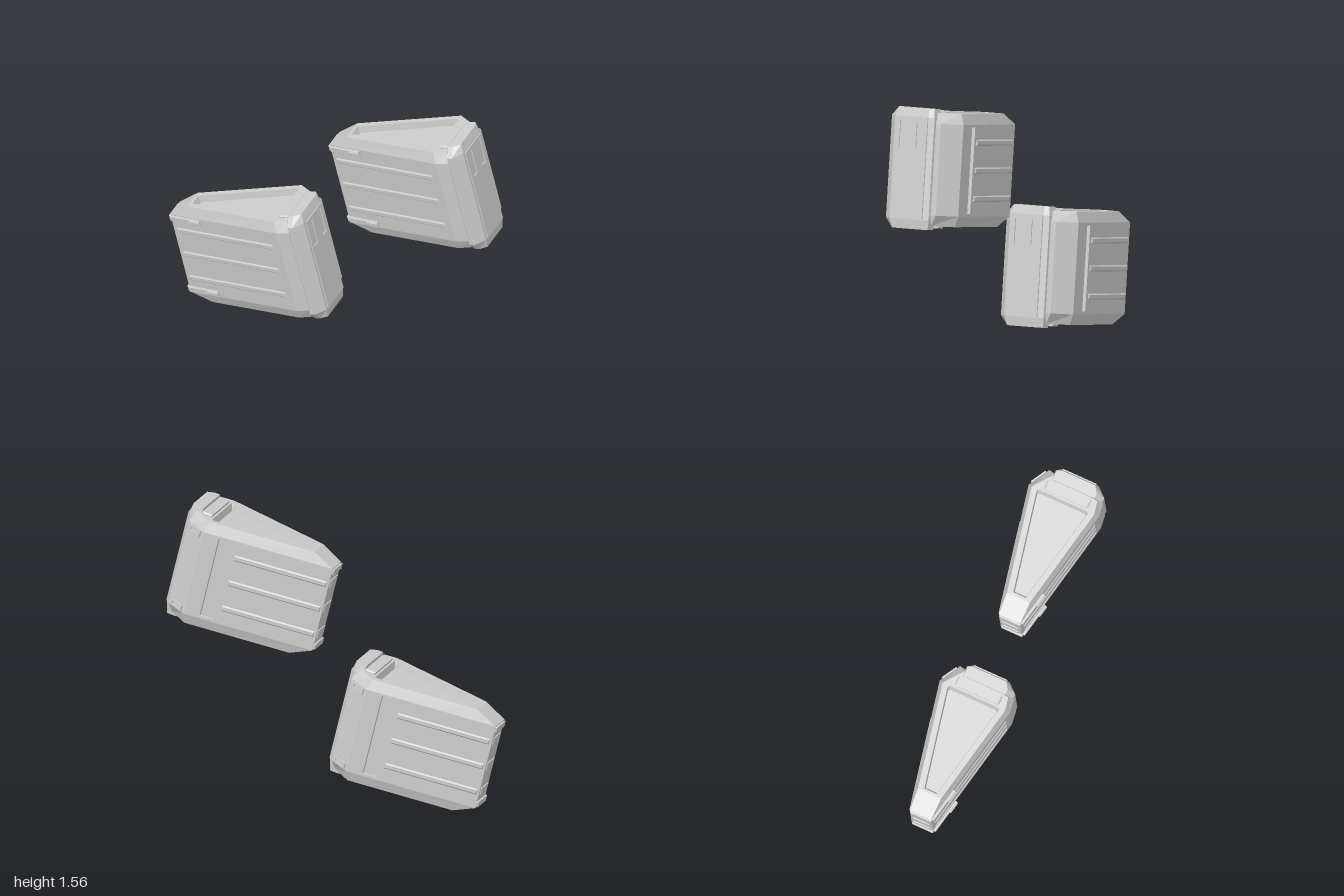
import * as THREE from 'three';

const mat = new THREE.MeshStandardMaterial({ color: 0xcccccc, flatShading: true });
const SIDE = Math.atan2(0.15, 0.73); // angle of each flared side wall
const sideWidth = (x) => 0.065 + (x + 0.45) * 0.2055;

function add(parent, name, geometry, x = 0, y = 0, z = 0, turn = 0) {
  const mesh = new THREE.Mesh(geometry, mat);
  mesh.name = name;
  mesh.position.set(x, y, z);
  mesh.rotation.y = turn;
  parent.add(mesh);
}

function rect(w, h, x = 0, y = 0, type = THREE.Shape) {
  return new type([[-1, -1], [1, -1], [1, 1], [-1, 1]].map(
    ([i, j]) => new THREE.Vector2(x + i * w / 2, y + j * h / 2)));
}

// Centred box with chamfered edges
function slab(w, h, d, bevel) {
  return new THREE.ExtrudeGeometry(rect(w - 2 * bevel, h - 2 * bevel), {
    depth: d - 2 * bevel, bevelEnabled: true, bevelSize: bevel, bevelThickness: bevel, bevelSegments: 1,
  }).center();
}

const loop = (y, points) => points.map(([x, z]) => new THREE.Vector3(x, y, z));

// Wedge outline: thin end, widest point, two end corners; optional channel in the -z wall
function outline(y, [ta, tc], [wa, wc], left, right, channel = 0) {
  const wall = (f, depth) => [wa + (ta - wa) * f, -(wc + (tc - wc) * f) + depth];
  return loop(y, [[ta, tc], [wa, wc], left, right, [wa, -wc],
    wall(0.12, 0), wall(0.12, channel), wall(0.23, channel), wall(0.23, 0), [ta, -tc]]);
}

// Skin through stacked loops, closed at both ends
function loft(loops) {
  const out = [];
  const tri = (...points) => points.forEach((p) => out.push(p.x, p.y, p.z));
  const n = loops[0].length;
  const middle = (ring) => ring.reduce((s, p) => s.add(p), new THREE.Vector3()).divideScalar(n);
  const first = loops[0], last = loops[loops.length - 1];
  const low = middle(first), high = middle(last);
  for (let i = 0; i < n; i++) {
    const j = (i + 1) % n;
    tri(low, first[j], first[i]);
    tri(high, last[i], last[j]);
    for (let k = 0; k + 1 < loops.length; k++) {
      tri(loops[k][i], loops[k][j], loops[k + 1][j]);
      tri(loops[k][i], loops[k + 1][j], loops[k + 1][i]);
    }
  }
  const g = new THREE.BufferGeometry();
  g.setAttribute('position', new THREE.Float32BufferAttribute(out, 3));
  g.computeVertexNormals();
  return g;
}

function createPod(name) {
  const pod = new THREE.Group();
  pod.name = name;

  // Wedge body with chamfered rims and a triangular pocket above and below
  const floor = [[-0.3, 0.035], [0.245, 0.148], [0.255, 0.14], [0.255, -0.14]];
  const pocket = [[-0.31, 0.038], [0.255, 0.155], [0.27, 0.15], [0.27, -0.15]];
  const rim = [[-0.325, 0.07], [0.27, 0.19], [0.345, 0.175], [0.38, -0.105]];
  const wall = [[-0.45, 0.065], [0.28, 0.215], [0.355, 0.205], [0.4, -0.145]];
  add(pod, 'body', loft([
    outline(-0.275, ...floor), outline(-0.315, ...pocket), outline(-0.315, ...rim),
    outline(-0.255, ...wall), outline(-0.24, ...wall), outline(-0.24, ...wall, 0.02),
    outline(0.24, ...wall, 0.02), outline(0.24, ...wall), outline(0.255, ...wall),
    outline(0.315, ...rim), outline(0.315, ...pocket), outline(0.275, ...floor),
  ]));

  // End plate: wide chamfer on one flank, narrow one on the other
  const plate = [[0.35, 0.2], [0.38, 0.2], [0.428, 0.145], [0.428, -0.08], [0.412, -0.108], [0.35, -0.108]];
  const plateTip = [[0.35, 0.155], [0.38, 0.155], [0.418, 0.13], [0.418, -0.075], [0.405, -0.1], [0.35, -0.1]];
  add(pod, 'endPlate', loft([
    loop(-0.338, plateTip), loop(-0.285, plate), loop(0.285, plate), loop(0.335, plateTip)]));

  // Face of the plate with two shallow slots near its top
  const face = rect(0.205, 0.56);
  for (const s of [-1, 1]) face.holes.push(rect(0.047, 0.15, s * 0.056, 0.185, THREE.Path));
  add(pod, 'slottedFace', new THREE.ExtrudeGeometry(face, { depth: 0.01, bevelEnabled: false }),
    0.425, 0, 0.026, Math.PI / 2);

  // Raised bars beside the plate, above and below
  for (const s of [-1, 1]) {
    add(pod, 'rimBar', slab(0.06, 0.04, 0.27, 0.008), 0.312, s * 0.308, 0.01);
  }

  // Three low ridges along each side, carried round the thin end
  for (const y of [0.155, 0, -0.157]) {
    for (const [s, from, to] of [[1, -0.43, 0.24], [-1, -0.44, 0.09]]) {
      const x = (from + to) / 2;
      add(pod, 'sideRidge', slab((to - from) / Math.cos(SIDE), 0.04, 0.022, 0.01),
        x, y, s * (sideWidth(x) - 0.004), -s * SIDE);
    }
    add(pod, 'endRidge', slab(0.03, 0.05, 0.11, 0.008), -0.441, y, 0);
  }

  // Hooks on one wall at the thin end, catches on the opposite wide corner
  for (const s of [-1, 1]) {
    const y = s * 0.232;
    add(pod, 'hookArm', slab(0.205, 0.034, 0.024, 0.003), -0.345, y, sideWidth(-0.345) + 0.002, -SIDE);
    add(pod, 'hookTip', slab(0.07, 0.026, 0.036, 0.004), -0.28, y, sideWidth(-0.28) + 0.003, -SIDE);
    add(pod, 'hookEnd', slab(0.03, 0.034, 0.13, 0.004), -0.445, y, 0.005);
    const catchFrame = rect(0.1, 0.036);
    catchFrame.holes.push(rect(0.065, 0.016, 0, 0, THREE.Path));
    add(pod, 'catch', new THREE.ExtrudeGeometry(catchFrame, { depth: 0.02, bevelEnabled: false })
      .translate(0, 0, -0.01), 0.34, y, -0.179, -Math.atan2(0.07, 0.12));
  }
  return pod;
}

export function createModel() {
  const model = new THREE.Group();
  model.name = 'podPair';
  // Shared tilt of both pods
  const along = new THREE.Vector3(0.974, 0.21, 0.075).normalize();
  const across = along.clone().cross(new THREE.Vector3(-0.21, 0.976, 0.058)).normalize();
  const up = across.clone().cross(along);
  const tilt = new THREE.Matrix4().makeBasis(along, up, across);
  for (const [name, x, y, z] of [['lowerPod', -0.5, 0.381, -0.095], ['upperPod', 0.5, 1.136, 0.055]]) {
    const pod = createPod(name);
    pod.quaternion.setFromRotationMatrix(tilt);
    pod.position.set(x, y, z);
    model.add(pod);
  }
  return model;
}
